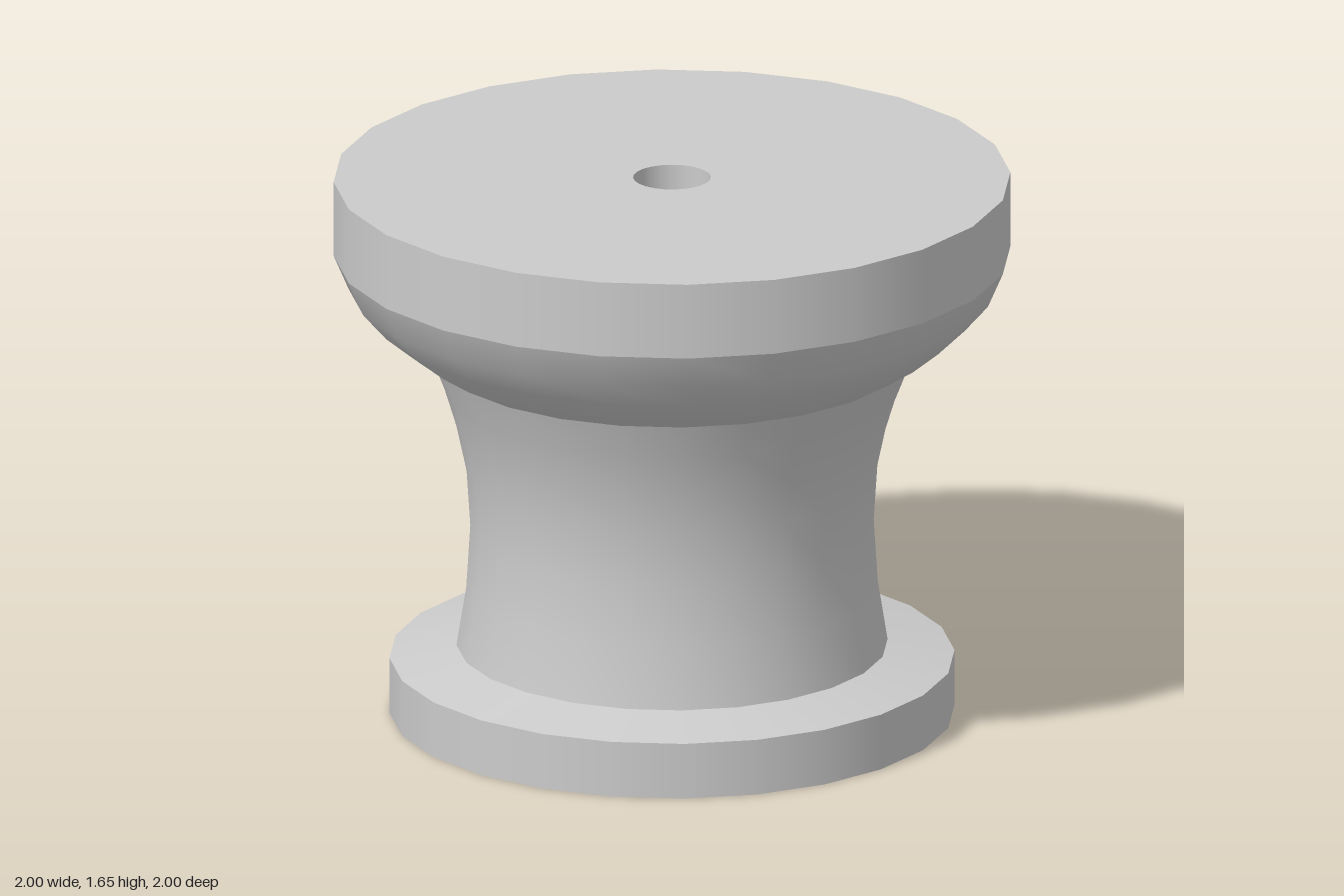
import * as THREE from 'three';

const SIDES = 24;
const BORE = 0.115;
const HEIGHT = 1.655;

export function createModel() {
  const group = new THREE.Group();
  group.name = 'knob';
  const material = new THREE.MeshStandardMaterial({ color: 0xcccccc });

  // Each section is its own lathe, so edges between sections stay sharp
  const turn = (name, profile) => {
    const points = profile.map(([r, y]) => new THREE.Vector2(r, y));
    const mesh = new THREE.Mesh(new THREE.LatheGeometry(points, SIDES), material);
    mesh.name = name;
    group.add(mesh);
  };

  // Foot disc with a shallow sloped shoulder
  turn('footUnderside', [[BORE, 0], [0.835, 0]]);
  turn('footRim', [[0.835, 0], [0.835, 0.17]]);
  turn('footShoulder', [[0.835, 0.17], [0.637, 0.208]]);

  // Concave waist
  turn('waist', [
    [0.637, 0.208], [0.608, 0.39], [0.596, 0.58], [0.607, 0.75],
    [0.637, 0.89], [0.672, 1.005], [0.715, 1.115],
  ]);

  // Rounded underside of the head, then its straight rim and flat top
  turn('headBowl', [
    [0.715, 1.115], [0.8, 1.17], [0.885, 1.24], [0.955, 1.32], [1, 1.425],
  ]);
  turn('headRim', [[1, 1.425], [1, HEIGHT]]);
  turn('headTop', [[1, HEIGHT], [BORE, HEIGHT]]);

  // Hole running right through the centre
  turn('bore', [[BORE, HEIGHT], [BORE, 0]]);

  return group;
}
